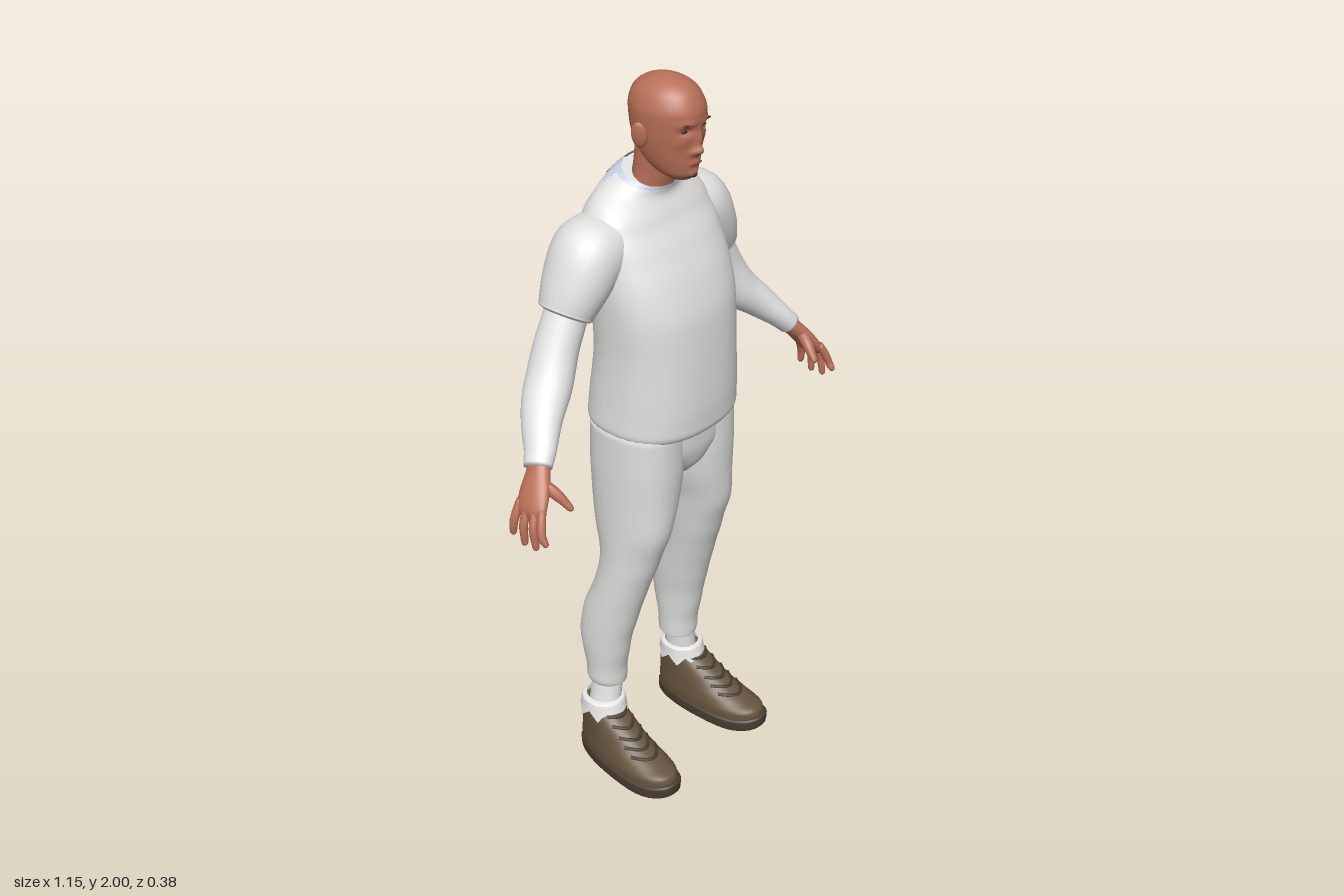
import * as THREE from 'three';

const mat = (name, color, side = THREE.FrontSide) => {
  const m = new THREE.MeshStandardMaterial({ color, side });
  m.name = name;
  return m;
};

// Smooth interpolation of one column without overshoot
function blend(rows, s, k, def) {
  const n = rows.length - 1, i = Math.max(0, Math.min(n - 1, Math.floor(s))), t = s - i;
  const v = j => rows[j][k] ?? def;
  const d = j => v(j + 1) - v(j);
  const slope = j => {
    if (j === 0) return d(0);
    if (j === n) return d(n - 1);
    const a = d(j - 1), b = d(j);
    return a * b <= 0 ? 0 : 2 * a * b / (a + b);
  };
  const t2 = t * t, t3 = t2 * t;
  return v(i) * (2 * t3 - 3 * t2 + 1) + slope(i) * (t3 - 2 * t2 + t)
    + v(i + 1) * (3 * t2 - 2 * t3) + slope(i + 1) * (t3 - t2);
}

// Surface through rings [x, y, z, halfWidth, halfDepth, power, tilt]; follow = rings square to the path
function surface(rows, follow = false, warp = p => p) {
  const n = rows.length - 1;
  const centre = s => new THREE.Vector3(...[0, 1, 2].map(k => blend(rows, Math.max(0, Math.min(n, s)), k, 0)));
  const P = (s, th) => {
    const t = follow ? centre(s + 0.05).sub(centre(s - 0.05)).normalize() : new THREE.Vector3(0, 1, 0);
    const v = new THREE.Vector3(0, 0, 1).addScaledVector(t, -t.z).normalize();
    const u = new THREE.Vector3().crossVectors(t, v);
    const e = 2 / blend(rows, s, 5, 2), c = Math.cos(th), q = Math.sin(th);
    const a = blend(rows, s, 3, 0) * Math.sign(c) * Math.abs(c) ** e;
    const b = blend(rows, s, 4, 0) * Math.sign(q) * Math.abs(q) ** e;
    const p = centre(s).addScaledVector(u, a).addScaledVector(v, b);
    p.y += blend(rows, s, 6, 0) * b;
    return warp(p);
  };
  P.n = n;
  return P;
}

// Skin a surface between two limits, closed with caps unless open
function loft(P, { seg = 28, per = 5, lo = () => 0, hi = () => P.n, cap = true } = {}) {
  const steps = Math.max(4, P.n * per), pos = [], idx = [];
  for (let i = 0; i <= steps; i++) for (let j = 0; j < seg; j++) {
    const th = j / seg * Math.PI * 2;
    pos.push(...P(THREE.MathUtils.lerp(lo(th, j), hi(th, j), i / steps), th).toArray());
  }
  for (let i = 0; i < steps; i++) for (let j = 0; j < seg; j++) {
    const a = i * seg + j, b = i * seg + (j + 1) % seg;
    idx.push(a, a + seg, b, b, a + seg, b + seg);
  }
  if (cap) for (const [first, end] of [[0, false], [steps * seg, true]]) {
    const mid = new THREE.Vector3(), id = pos.length / 3;
    for (let j = 0; j < seg; j++) mid.add(new THREE.Vector3().fromArray(pos, (first + j) * 3));
    pos.push(...mid.divideScalar(seg).toArray());
    for (let j = 0; j < seg; j++) {
      const a = first + j, b = first + (j + 1) % seg;
      idx.push(id, end ? b : a, end ? a : b);
    }
  }
  const g = new THREE.BufferGeometry();
  g.setAttribute('position', new THREE.Float32BufferAttribute(pos, 3));
  g.setIndex(idx);
  g.computeVertexNormals();
  return g;
}

const ball = (x, y, z, rx, ry, rz, turn = 0) =>
  new THREE.SphereGeometry(1, 16, 12).scale(rx, ry, rz).rotateZ(turn).translate(x, y, z);

function mirrored(g) {
  const m = g.clone().scale(-1, 1, 1), a = m.index.array;
  for (let i = 0; i < a.length; i += 3) [a[i], a[i + 1]] = [a[i + 1], a[i]];
  return m;
}

export function createModel() {
  const skin = mat('skin', 0xb87058), shirt = mat('shirt cloth', 0xe0e0de), trousers = mat('trouser cloth', 0xdededc);
  const under = mat('undershirt cloth', 0xe6e6e8), sock = mat('sock cloth', 0xe8e8e6, THREE.DoubleSide);
  const collarBlue = mat('pale blue collar', 0xc3cee0, THREE.DoubleSide);
  const leather = mat('brown leather', 0x66543f), soleMat = mat('dark sole', 0x4a3d31);
  const hair = mat('dark hair', 0x4a2e26), lips = mat('lips', 0x8f4f42);
  const model = new THREE.Group();
  model.name = 'standingMan';
  const add = (name, g, m) => {
    const mesh = new THREE.Mesh(g, m);
    mesh.name = name;
    model.add(mesh);
  };
  const pair = (name, g, m) => { add(name + 'Left', g, m); add(name + 'Right', mirrored(g), m); };

  // Shirt body and collar
  const torso = surface([
    [0, 1.10, -.025, .165, .13, 2.4], [0, 1.087, -.025, .185, .153, 2.4], [0, 1.11, -.025, .198, .165, 2.4],
    [0, 1.16, -.022, .195, .164, 2.4], [0, 1.30, -.015, .19, .152, 2.4], [0, 1.40, -.018, .195, .147, 2.4],
    [0, 1.50, -.04, .2, .14, 2.4], [0, 1.58, -.065, .2, .125, 2.4], [0, 1.65, -.08, .187, .102, 2.4, -.1],
    [0, 1.69, -.08, .158, .085, 2.2, -.2], [0, 1.72, -.075, .113, .07, 2, -.35], [0, 1.742, -.062, .076, .06, 2, -.4],
  ]);
  add('shirtBody', loft(torso, { seg: 48 }), shirt);
  const raised = (s, th) => {
    const p = torso(s, th), out = new THREE.Vector3(p.x, 0, p.z + .07).normalize();
    return p.addScaledVector(out, .003).add(new THREE.Vector3(0, .004, 0));
  };
  raised.n = 1;
  add('collar', loft(raised, {
    seg: 60, per: 8, cap: false, hi: () => 11,
    lo: (th, j) => Math.sin(th) < -.55 ? 10.1 - .9 * Math.abs((j % 6) / 3 - 1) : 10.65,
  }), collarBlue);

  // Sleeves, arms
  pair('shortSleeve', loft(surface([
    [.12, 1.625, -.09, .055, .08], [.19, 1.58, -.09, .092, .096], [.235, 1.52, -.092, .08, .09],
    [.270, 1.456, -.095, .067, .072], [.274, 1.449, -.095, .066, .07], [.277, 1.444, -.095, .052, .056],
  ], true)), shirt);
  pair('arm', loft(surface([
    [.25, 1.49, -.095, .05, .055], [.3, 1.39, -.095, .054, .058], [.355, 1.29, -.08, .055, .062],
    [.41, 1.235, -.05, .046, .054], [.46, 1.18, -.01, .033, .042], [.485, 1.152, .005, .03, .037],
  ], true)), under);

  // Hands: palm, four fingers and a thumb
  pair('palm', loft(surface([
    [.472, 1.168, .0, .022, .028], [.492, 1.14, .012, .022, .034], [.52, 1.105, .026, .021, .043],
    [.543, 1.07, .036, .016, .045], [.548, 1.055, .038, .009, .036],
  ], true)), skin);
  const fingers = [[-.002, -.008, .995], [.023, .03, .98], [.048, .068, .982], [.07, .1, 1.005]];
  fingers.forEach(([z0, z1, y], i) => pair('finger' + (i + 1), loft(surface([
    [.54, 1.085, z0, .01, .011], [.554, 1.055, (z0 * 2 + z1) / 3, .011, .012], [.563, 1.025, (z0 + z1 * 2) / 3, .01, .011],
    [.563, y + .006, z1, .008, .009], [.562, y, z1, .004, .004],
  ], true), { seg: 10, per: 3 }), skin));
  pair('thumb', loft(surface([
    [.503, 1.13, .03, .014, .016], [.492, 1.11, .062, .015, .016], [.482, 1.088, .088, .011, .012],
    [.477, 1.072, .104, .008, .008], [.476, 1.068, .107, .003, .003],
  ], true), { seg: 12, per: 3 }), skin);

  // Trousers
  add('trouserSeat', loft(surface([
    [0, .935, -.025, .05, .085], [0, .98, -.025, .12, .12], [0, 1.04, -.025, .19, .13, 2.3], [0, 1.12, -.025, .19, .13, 2.3],
  ]), { seg: 40 }), trousers);
  pair('trouserLeg', loft(surface([
    [.147, .268, -.1, .04, .046], [.147, .26, -.1, .049, .054], [.15, .278, -.1, .054, .057], [.15, .31, -.1, .055, .058],
    [.151, .4, -.1, .062, .075], [.145, .5, -.083, .067, .083], [.137, .6, -.05, .068, .079],
    [.127, .7, -.027, .071, .089], [.12, .8, -.022, .077, .116, 2.1], [.106, .9, -.025, .091, .126, 2.2],
    [.1, 1, -.025, .097, .13, 2.3], [.098, 1.1, -.025, .097, .13, 2.3],
  ])), trousers);

  // Socks with a jagged turned cuff
  pair('sock', loft(surface([
    [.168, .14, -.1, .045, .055], [.16, .2, -.098, .039, .047], [.15, .28, -.096, .037, .045],
  ])), sock);
  pair('sockCuff', loft(surface([
    [.168, .14, -.098, .065, .082], [.167, .18, -.099, .06, .068], [.166, .208, -.1, .058, .06], [.165, .212, -.1, .045, .05],
  ]), { seg: 48, cap: false, lo: (th, j) => .35 + .65 * Math.abs((j % 6) / 3 - 1) }), sock);

  // Shoes: narrower heel, lifted toe, slightly turned out
  const last = p => {
    p.x *= 1 + p.z * .8;
    p.y += Math.max(0, p.z - .08) ** 2 * 1.5;
    return p.applyAxisAngle(new THREE.Vector3(0, 1, 0), .08).add(new THREE.Vector3(.178, 0, 0));
  };
  pair('shoeSole', loft(surface([
    [0, 0, .005, .058, .165, 2.3], [0, .008, .005, .067, .182, 2.3], [0, .035, .005, .069, .184, 2.3], [0, .042, .005, .064, .178, 2.3],
  ], false, last), { seg: 40 }), soleMat);
  const upper = surface([
    [0, .03, .004, .064, .176, 2.3], [0, .06, 0, .066, .174, 2.3], [0, .085, -.022, .063, .152, 2.2],
    [0, .11, -.05, .06, .125], [0, .14, -.073, .057, .1], [0, .175, -.095, .054, .068], [0, .19, -.1, .05, .058],
  ], false, last);
  pair('shoeUpper', loft(upper, { seg: 40 }), leather);
  for (let i = 0; i < 5; i++) {
    const s = 2.5 + i * .6;
    const pts = [-.75, -.35, 0, .35, .75].map(a => upper(s + .2 * Math.abs(a), Math.PI / 2 + a));
    pair('lace' + (i + 1), new THREE.TubeGeometry(new THREE.CatmullRomCurve3(pts), 12, .005, 6), soleMat);
  }

  // Neck and head, with facial relief as soft bumps [x, y, height, spreadX, spreadY]
  add('neck', loft(surface([
    [0, 1.66, -.07, .066, .055], [0, 1.72, -.055, .064, .053], [0, 1.76, -.045, .059, .053], [0, 1.83, -.035, .058, .055],
  ])), skin);
  const bumps = [
    [0, 1.832, .02, .012, .012], [0, 1.858, .011, .009, .02], [.032, 1.884, -.009, .016, .009], [.032, 1.903, .004, .02, .007],
    [.016, 1.829, .006, .007, .007], [0, 1.8, .006, .018, .008], [0, 1.772, .006, .016, .01], [.045, 1.855, .003, .014, .012],
  ];
  const face = p => {
    if (p.z > .01) for (const [x, y, h, sx, sy] of bumps) {
      p.z += h * Math.exp(-(((Math.abs(p.x) - x) / sx) ** 2) - ((p.y - y) / sy) ** 2);
    }
    return p;
  };
  add('head', loft(surface([
    [0, 1.753, .03, .026, .032], [0, 1.768, .02, .044, .053], [0, 1.80, .0, .062, .08], [0, 1.84, -.006, .073, .09],
    [0, 1.88, -.008, .079, .099], [0, 1.92, -.008, .081, .102], [0, 1.96, -.01, .069, .089],
    [0, 1.985, -.01, .045, .06], [0, 1.997, -.01, .018, .024], [0, 2, -.01, .003, .004],
  ], false, face), { seg: 72, per: 8 }), skin);
  pair('ear', ball(0, 0, 0, .009, .033, .02).rotateY(-.45).rotateZ(-.15).translate(.086, 1.868, -.02), skin);
  pair('eye', ball(.032, 1.884, .0735, .012, .0045, .005), hair);
  pair('eyebrow', ball(.033, 1.902, .0835, .017, .003, .005, -.08), hair);
  add('mouth', ball(0, 1.799, .0825, .02, .0035, .005), lips);
  add('chinBeard', ball(0, 1.767, .072, .014, .007, .009), hair);
  return model;
}
